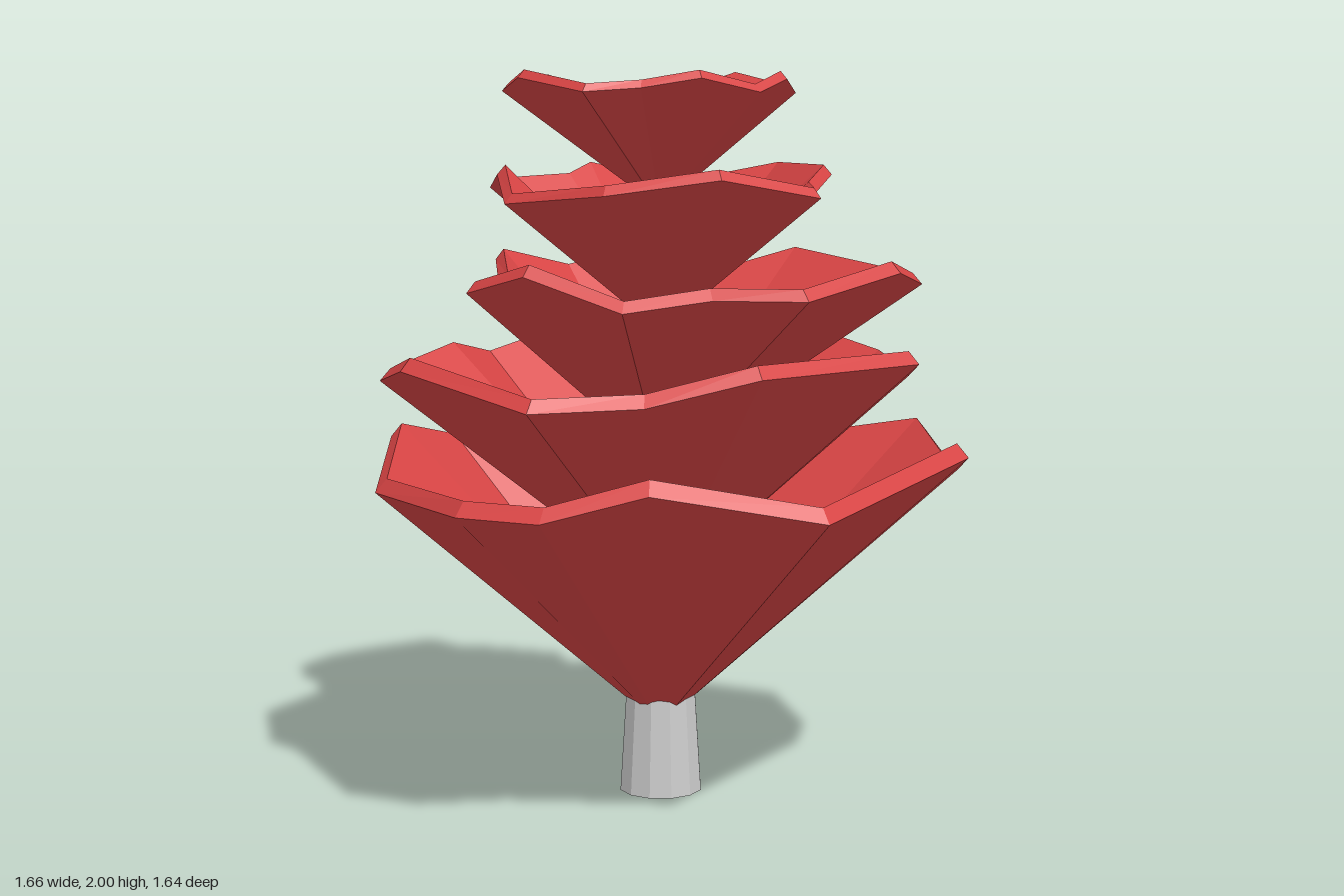
import * as THREE from 'three';

const AXIS_X = -0.03, AXIS_Z = -0.04;
const leafMaterial = new THREE.MeshStandardMaterial({ color: 0xd94545, flatShading: true });
const barkMaterial = new THREE.MeshStandardMaterial({ color: 0xcccccc, flatShading: true });

// A thick, upturned cone of foliage: a ragged rim [x, z, y] fanned to an apex on the trunk.
function foliageTier(name, apexY, thickness, rim) {
  const outer = rim.map(([x, z, y]) => [x, y, z]);
  const inner = rim.map(([x, z, y]) => {
    const dx = x - AXIS_X, dz = z - AXIS_Z;
    const shrink = 1 - 0.65 * thickness / Math.hypot(dx, dz);
    return [AXIS_X + dx * shrink, y + 0.76 * thickness, AXIS_Z + dz * shrink];
  });
  const bottom = [AXIS_X, apexY, AXIS_Z];
  const top = [AXIS_X, apexY + 1.3 * thickness, AXIS_Z];
  const positions = [];
  const tri = (a, b, c) => positions.push(...a, ...b, ...c);
  for (let i = 0; i < rim.length; i++) {
    const j = (i + 1) % rim.length;
    tri(bottom, outer[i], outer[j]); // underside
    tri(top, inner[j], inner[i]); // upper side
    tri(outer[j], outer[i], inner[i]); // rim band
    tri(outer[j], inner[i], inner[j]);
  }
  const geometry = new THREE.BufferGeometry();
  geometry.setAttribute('position', new THREE.Float32BufferAttribute(positions, 3));
  geometry.computeVertexNormals();
  const mesh = new THREE.Mesh(geometry, leafMaterial);
  mesh.name = name;
  return mesh;
}

export function createModel() {
  const model = new THREE.Group();
  model.name = 'tree';

  // Tapering trunk
  const trunk = new THREE.Mesh(new THREE.CylinderGeometry(0.01, 0.117, 1.7, 12), barkMaterial);
  trunk.position.set(AXIS_X + 0.002, 0.85, AXIS_Z + 0.002);
  trunk.name = 'trunk';
  model.add(trunk);

  // Foliage, from the lowest tier to the crown
  model.add(foliageTier('lowestFoliage', 0.18, 0.05, [
    [-0.01, -0.82, 0.9], [0.27, -0.69, 0.9], [0.63, -0.57, 0.97], [0.76, -0.28, 0.9],
    [0.83, 0, 0.98], [0.58, 0.64, 0.9], [0.16, 0.76, 0.97], [-0.1, 0.82, 0.9],
    [-0.33, 0.78, 0.9], [-0.73, 0.32, 0.87], [-0.83, -0.05, 0.97], [-0.78, -0.37, 0.9],
    [-0.37, -0.57, 0.97],
  ]));
  model.add(foliageTier('lowerFoliage', 0.56, 0.045, [
    [-0.23, -0.75, 1.16], [0.06, -0.6, 1.17], [0.29, -0.62, 1.23], [0.53, -0.47, 1.18],
    [0.62, -0.29, 1.16], [0.7, 0.04, 1.23], [0.38, 0.5, 1.23], [0.1, 0.59, 1.16],
    [-0.15, 0.76, 1.16], [-0.56, 0.55, 1.23], [-0.76, 0.2, 1.16], [-0.67, -0.06, 1.21],
    [-0.65, -0.33, 1.16], [-0.46, -0.61, 1.23],
  ]));
  model.add(foliageTier('middleFoliage', 0.93, 0.04, [
    [-0.2, -0.6, 1.475], [0.05, -0.52, 1.41], [0.26, -0.54, 1.47], [0.66, -0.25, 1.42],
    [0.66, 0.12, 1.475], [0.48, 0.42, 1.42], [0.24, 0.45, 1.42], [0.03, 0.54, 1.39],
    [-0.24, 0.51, 1.475], [-0.44, 0.38, 1.42], [-0.43, 0.15, 1.42], [-0.54, -0.14, 1.475],
    [-0.41, -0.37, 1.42],
  ]));
  model.add(foliageTier('upperFoliage', 1.29, 0.035, [
    [0, -0.51, 1.68], [0.22, -0.47, 1.72], [0.42, -0.17, 1.72], [0.42, 0.04, 1.68],
    [0.47, 0.23, 1.67], [0.26, 0.44, 1.72], [-0.03, 0.5, 1.68], [-0.36, 0.3, 1.65],
    [-0.46, 0.07, 1.72], [-0.53, -0.07, 1.68], [-0.37, -0.25, 1.69], [-0.33, -0.34, 1.72],
    [-0.18, -0.49, 1.68],
  ]));
  model.add(foliageTier('crownFoliage', 1.63, 0.028, [
    [-0.15, -0.42, 1.94], [0, -0.335, 1.94], [0.12, -0.34, 1.978], [0.25, -0.27, 1.95],
    [0.32, -0.16, 1.94], [0.33, 0, 1.975], [0.285, 0.12, 1.94], [0.16, 0.25, 1.975],
    [0.01, 0.295, 1.95], [-0.12, 0.38, 1.94], [-0.34, 0.24, 1.978], [-0.44, 0.08, 1.945],
    [-0.38, -0.09, 1.97], [-0.34, -0.2, 1.94],
  ]));
  return model;
}
